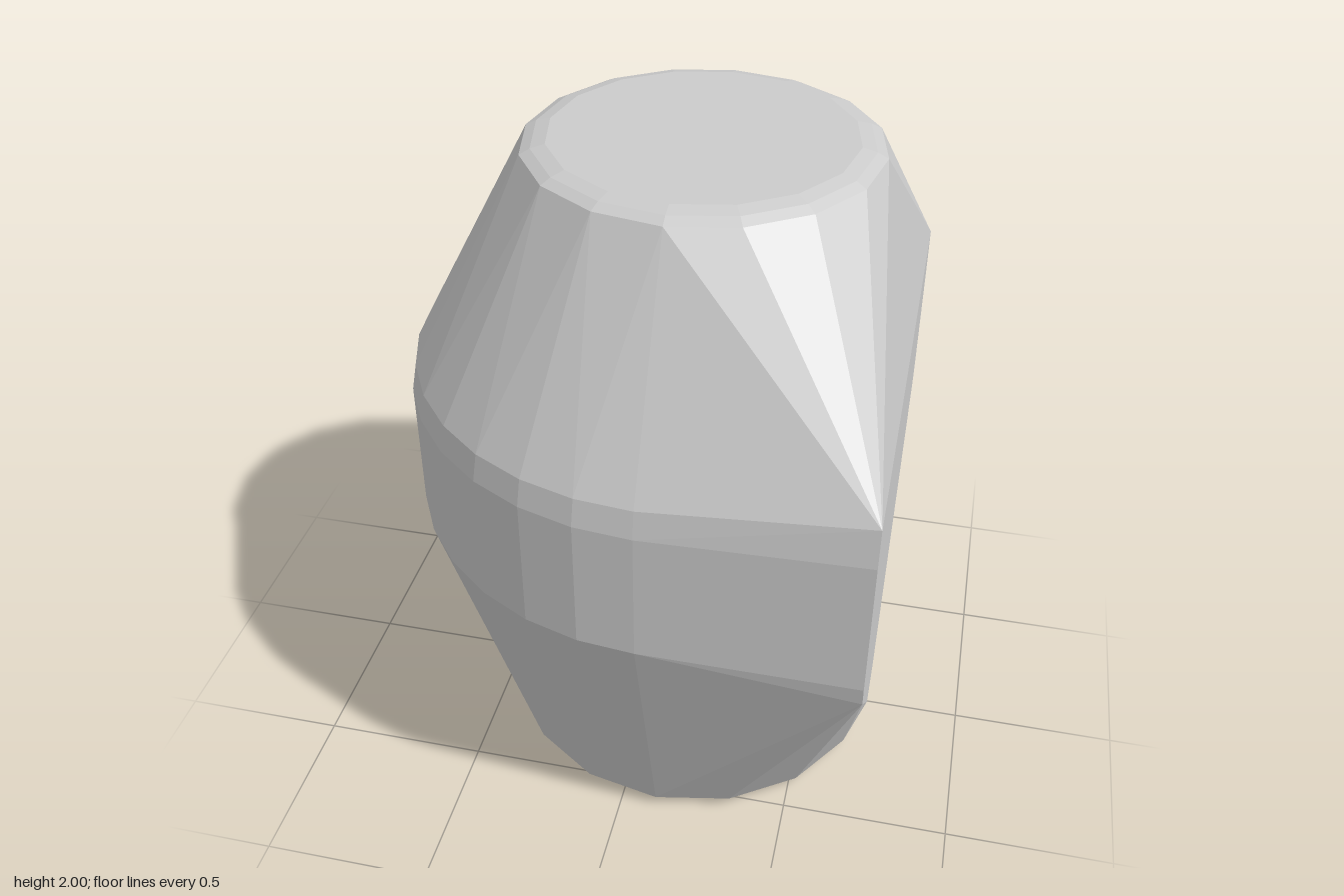
import * as THREE from 'three';
import { ConvexGeometry } from 'three/addons/geometries/ConvexGeometry.js';

const CX = 0.11; // axis of the round ends

// Points on an arc about the vertical axis; angle 0 is +x, 90 degrees is +z
function arc(y, r, from, to, steps) {
  const points = [];
  for (let i = 0; i <= steps; i++) {
    const a = THREE.MathUtils.degToRad(from + (to - from) * i / steps);
    points.push(new THREE.Vector3(CX + r * Math.cos(a), y, r * Math.sin(a)));
  }
  return points;
}

export function createModel() {
  const group = new THREE.Group();
  group.name = 'facetedBody';
  const points = [];

  // Round ends with a small bevel: [height, radius]
  for (const [y, r] of [[0, 0.51], [0.01, 0.55], [0.035, 0.585], [1.975, 0.49], [1.99, 0.46], [2, 0.42]]) {
    points.push(...arc(y, r, 0, 337.5, 15));
  }

  // Belly: round on the left side, [height, radius]
  for (const [y, r] of [[0.85, 0.813], [0.89, 0.83], [1.28, 0.83], [1.36, 0.815]]) {
    points.push(...arc(y, r, 90, 270, 16));
  }

  // Flat side: two upright corner edges, [height, front z, back z]
  for (const [y, front, back] of [[0.83, 0.82, -0.71], [0.89, 0.83, -0.728], [1.3, 0.83, -0.728], [1.41, 0.815, -0.705]]) {
    points.push(new THREE.Vector3(0.715, y, front), new THREE.Vector3(0.715, y, back));
  }

  // Lower tip of the flat side
  for (const z of [-0.08, 0.08]) points.push(new THREE.Vector3(0.708, 0.08, z));

  const body = new THREE.Mesh(
    new ConvexGeometry(points),
    new THREE.MeshStandardMaterial({ color: 0xcccccc, flatShading: true })
  );
  body.name = 'body';
  group.add(body);
  return group;
}
